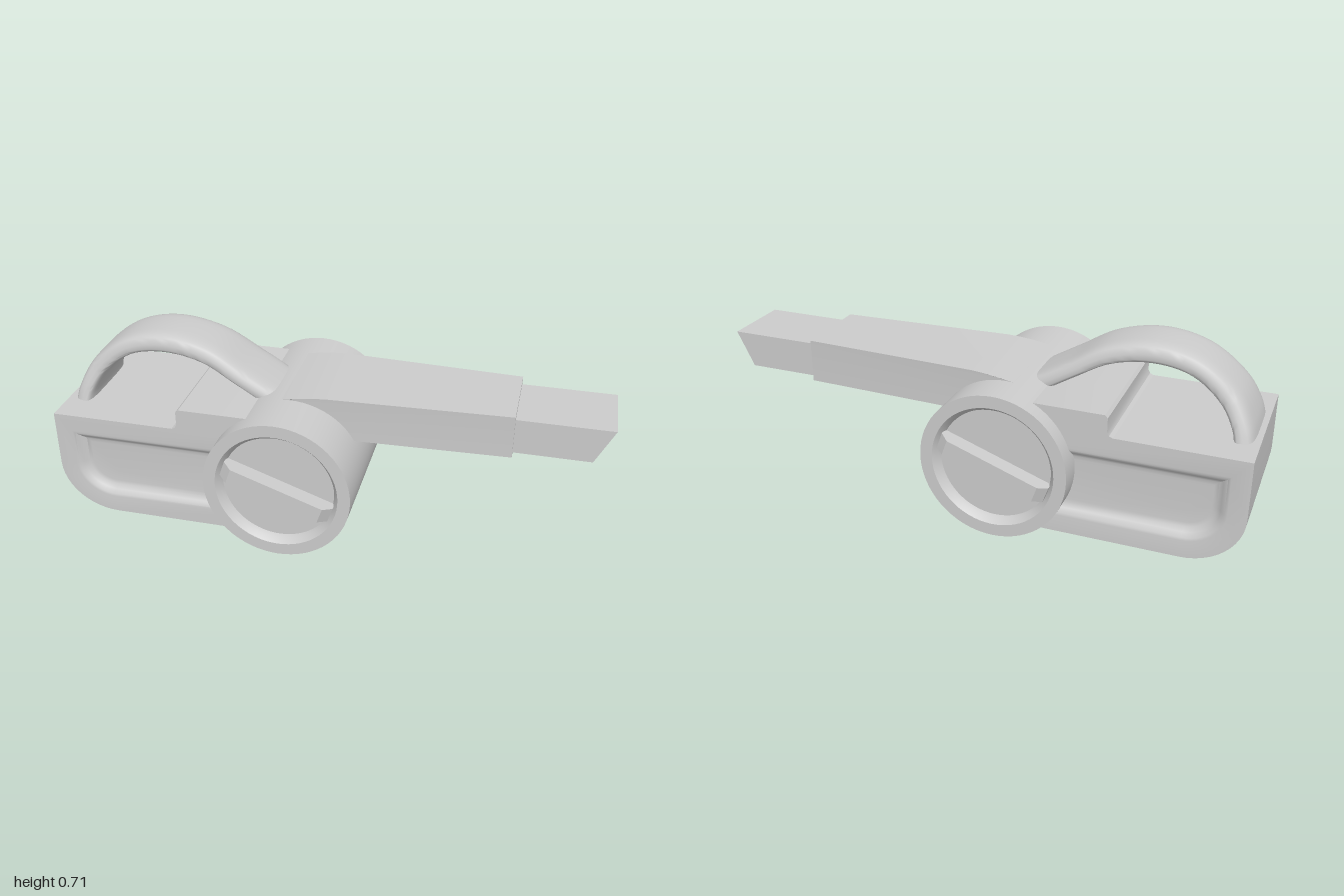
import * as THREE from 'three';
import { toCreasedNormals } from 'three/addons/utils/BufferGeometryUtils.js';

const V3 = (x, y, z) => new THREE.Vector3(x, y, z);

// Skin a row of closed rings (equal point counts) and cap both ends.
function loft(rings) {
  const pos = [], n = rings[0].length;
  const tri = (a, b, c) => { for (const p of [a, b, c]) pos.push(p.x, p.y, p.z); };
  for (let i = 0; i < rings.length - 1; i++) {
    for (let j = 0; j < n; j++) {
      const k = (j + 1) % n, A = rings[i], B = rings[i + 1];
      tri(A[j], A[k], B[k]);
      tri(A[j], B[k], B[j]);
    }
  }
  const mid = r => r.reduce((s, p) => s.add(p), V3(0, 0, 0)).divideScalar(n);
  const first = rings[0], last = rings[rings.length - 1];
  const m0 = mid(first), m1 = mid(last);
  for (let j = 0; j < n; j++) {
    const k = (j + 1) % n;
    tri(m0, first[k], first[j]);
    tri(m1, last[j], last[k]);
  }
  const g = new THREE.BufferGeometry();
  g.setAttribute('position', new THREE.Float32BufferAttribute(pos, 3));
  return g;
}

// Extrude a side profile; span(x) gives the [back, front] z at each x.
function sideExtrude(points, span) {
  const shape = new THREE.Shape(points.map(p => new THREE.Vector2(...p)));
  const g = new THREE.ExtrudeGeometry(shape, { depth: 1, bevelEnabled: false });
  const p = g.attributes.position;
  for (let i = 0; i < p.count; i++) {
    const [back, front] = span(p.getX(i));
    p.setZ(i, p.getZ(i) > 0.5 ? front : back);
  }
  return g;
}

// Counter-clockwise side outline of the body, shrunk by d, at depth z.
function bodyRing(d, z) {
  const x0 = -1 + d, x1 = -0.2 - d, y0 = 0.03 + d, y1 = 0.43 - d;
  const r = 0.21 - d, ring = [V3(x1, y0, z), V3(x1, y1, z), V3(x0, y1, z)];
  for (let i = 0; i <= 12; i++) {
    const a = Math.PI * (1 + i / 24);
    ring.push(V3(x0 + r + r * Math.cos(a), y0 + r * 0.9 + r * 0.9 * Math.sin(a), z));
  }
  return ring;
}

export function createModel() {
  const group = new THREE.Group();
  const material = new THREE.MeshStandardMaterial({ color: 0xcccccc });
  const add = (name, geometry, crease = 0.6) => {
    geometry.deleteAttribute('uv');
    const mesh = new THREE.Mesh(toCreasedNormals(geometry, crease), material);
    mesh.name = name;
    group.add(mesh);
    return mesh;
  };

  // Body with a soft recessed panel on each side
  const back = -0.285, front = 0.275;
  const rim = [[0.12, 0.03], [0.105, 0.028], [0.09, 0.015], [0.075, 0.002], [0.065, 0], [0, 0]];
  add('body', loft([
    ...rim.map(([d, h]) => bodyRing(d, back + h)),
    ...rim.slice().reverse().map(([d, h]) => bodyRing(d, front - h)),
  ]), 0.8);

  // Raised step on the body, with a small fillet at its foot
  add('bodyStep', sideExtrude(
    [[-0.54, 0.42], [-0.2, 0.42], [-0.2, 0.5], [-0.25, 0.51], [-0.51, 0.51], [-0.52, 0.5],
      [-0.52, 0.45], [-0.527, 0.436], [-0.54, 0.43]], () => [back, front]));

  // Cross drum with dished ends
  const drumProfile = [[0, -0.315], [0.205, -0.315], [0.21, -0.33], [0.225, -0.35], [0.27, -0.35],
    [0.27, 0.35], [0.225, 0.35], [0.21, 0.33], [0.205, 0.315], [0, 0.315]];
  const drum = new THREE.LatheGeometry(drumProfile.map(p => new THREE.Vector2(...p)), 64);
  drum.rotateX(Math.PI / 2).translate(-0.135, 0.27, 0);
  add('drum', drum);

  // Slanted grip bar in each drum end
  for (const [name, turn] of [['frontGripBar', 0], ['backGripBar', Math.PI]]) {
    const shape = new THREE.Shape([[-0.208, 0.305], [0.208, 0.305], [0.208, 0.345], [0.175, 0.375],
      [-0.175, 0.375], [-0.208, 0.345]].map(p => new THREE.Vector2(...p)));
    const g = new THREE.ExtrudeGeometry(shape, { depth: 0.06, bevelEnabled: false });
    g.translate(0, 0, -0.03).rotateX(Math.PI / 2);
    g.rotateZ(-0.335).rotateY(turn).translate(-0.135, 0.27, 0);
    add(name, g);
  }

  // Tapering arm and its slant-cut tip
  add('arm', sideExtrude(
    [[-0.2, 0.397], [0.66, 0.397], [0.66, 0.558], [0, 0.558], [-0.05, 0.555], [-0.1, 0.549],
      [-0.15, 0.541], [-0.2, 0.53]],
    x => {
      const half = 0.187 - 0.035 * Math.max(0, x + 0.1) / 0.76;
      return [-0.025 - half, -0.025 + half];
    }));
  add('tip', sideExtrude([[0.6, 0.407], [0.935, 0.407], [1, 0.538], [0.6, 0.538]],
    () => [-0.156, 0.108]));

  // Arched handle: outer edge (x, y, half width) and inner edge (x, y)
  const outer = new THREE.CatmullRomCurve3([
    V3(-0.985, 0.41, 0.168), V3(-0.965, 0.48, 0.152), V3(-0.91, 0.575, 0.128), V3(-0.78, 0.675, 0.117),
    V3(-0.62, 0.71, 0.116), V3(-0.45, 0.677, 0.119), V3(-0.31, 0.595, 0.126), V3(-0.2, 0.53, 0.125),
    V3(-0.15, 0.5, 0.12)]);
  const inner = new THREE.CatmullRomCurve3([
    V3(-0.91, 0.41, 0), V3(-0.897, 0.46, 0), V3(-0.85, 0.535, 0), V3(-0.75, 0.612, 0),
    V3(-0.62, 0.636, 0), V3(-0.475, 0.612, 0), V3(-0.35, 0.545, 0), V3(-0.25, 0.485, 0),
    V3(-0.2, 0.46, 0)]);
  const rings = [];
  const soft = v => Math.sign(v) * Math.abs(v) ** 0.5;
  for (let i = 0; i <= 48; i++) {
    const o = outer.getPoint(i / 48), n = inner.getPoint(i / 48), ring = [];
    for (let j = 0; j < 28; j++) {
      const a = j / 28 * Math.PI * 2;
      const s = soft(Math.sin(a)), t = 0.5 + 0.5 * s;
      // the ends of the section are rounder than its broad faces
      const z = -0.005 + o.z * soft(Math.cos(a)) * (1 - 0.06 * s);
      ring.push(V3(n.x + (o.x - n.x) * t, n.y + (o.y - n.y) * t, z));
    }
    rings.push(ring.reverse());
  }
  add('handle', loft(rings.reverse().map(r => r.reverse())), 0.9);

  return group;
}
